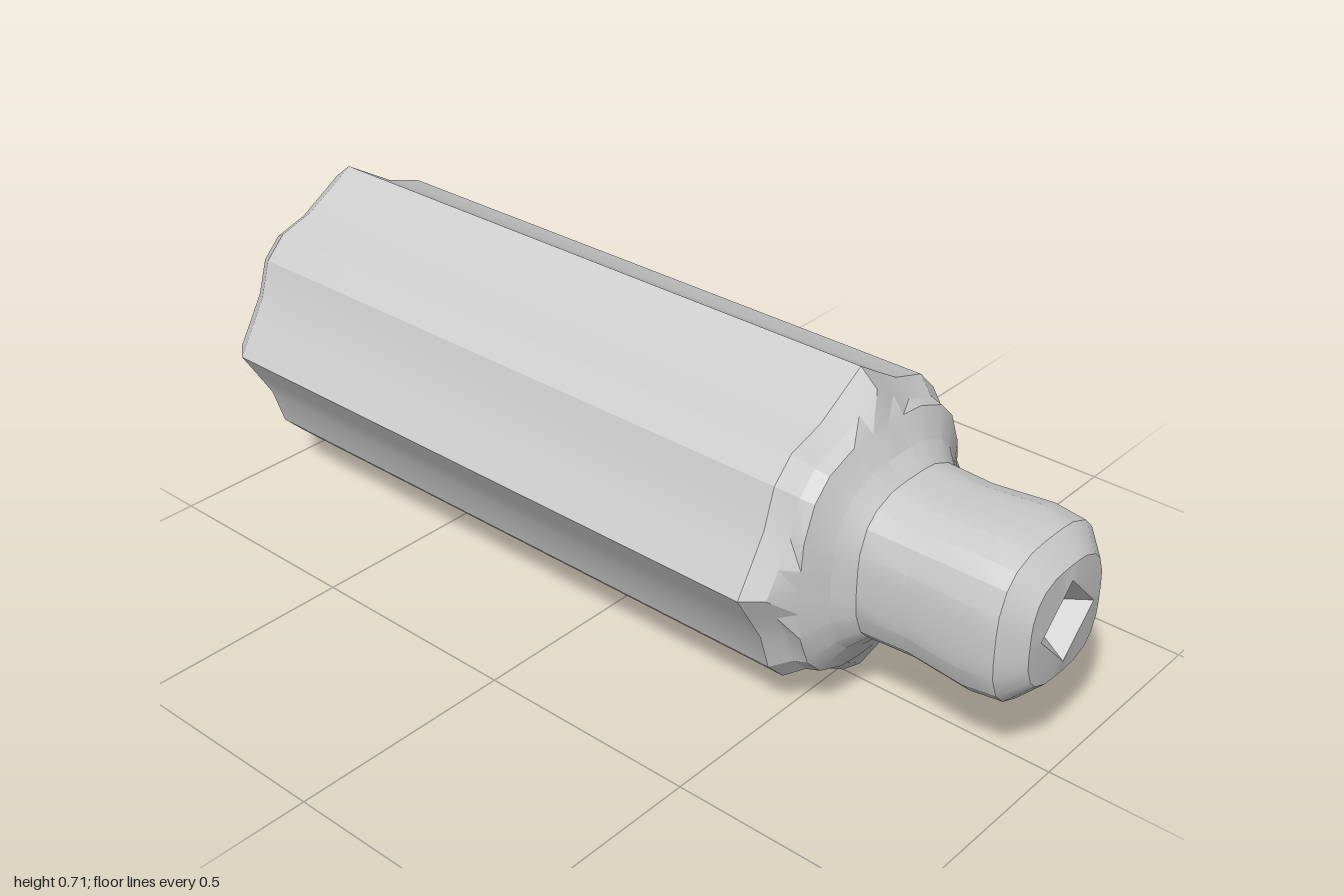
import * as THREE from 'three';
import { toCreasedNormals } from 'three/addons/utils/BufferGeometryUtils.js';

const CY = 0.355; // height of the long axis

// One quarter of the ridged cross-section, repeated four times around the axis
const QUARTER = [[0.353, 0], [0.316, 0.06], [0.28, 0.12], [0.253, 0.205], [0.205, 0.253], [0.12, 0.28], [0.06, 0.316]];
const section = [];
for (let q = 0; q < 4; q++) {
  for (const [x, y] of QUARTER) {
    const p = new THREE.Vector2(x, y).rotateAround(new THREE.Vector2(), q * Math.PI / 2);
    section.push({ r: p.length(), a: Math.atan2(p.y, p.x) });
  }
}
const N = section.length;
const BOTTOM = N * 3 / 4; // column of the lowest ridge

// Cross-section shapes: size s, section column c -> radius
const ridged = (s, c) => s * c.r;
const round = (s) => s;
const squarish = (s, c) => s * (1 + 0.12 * Math.sin(2 * c.a) ** 2);
const diamond = (s, c) => s / (Math.abs(Math.cos(c.a)) + Math.abs(Math.sin(c.a)));

// Closed loop of rings: along the outside to the tip, then back through the bore
const RINGS = [
  [-1.0, 0.83, ridged], [-0.985, 0.9, ridged], [-0.94, 1, ridged],
  [-0.89, 1, ridged], [-0.79, 1, ridged], [-0.72, 1, ridged], // 3, 4: side opening
  [0.51, 1, ridged], [0.55, 0.9, ridged], [0.58, 0.255, squarish], [0.61, 0.2, squarish],
  [0.645, 0.166, squarish], [0.75, 0.162, squarish], [0.88, 0.172, squarish],
  [0.95, 0.165, squarish], [0.995, 0.12, squarish],
  [1.0, 0.09, diamond], [0.93, 0.036, diamond], [0.62, 0.036, diamond],
  [0.53, 0.15, round], [0.47, 0.24, round], [-0.72, 0.245, round],
  [-0.79, 0.245, round], [-0.89, 0.245, round], // 21, 22: side opening, inside
  [-0.97, 0.25, round]
];

function shellGeometry() {
  const pos = [], index = [];
  const id = (i, j) => (i % RINGS.length) * N + (j + N) % N;
  const quad = (a, b, c, d) => index.push(a, b, c, a, c, d);

  RINGS.forEach(([z, s, shape], i) => section.forEach((c, j) => {
    const r = shape(s, c);
    let y = CY + r * Math.sin(c.a);
    // the lowest ridge is cut away around the side opening
    if ((i === 3 || i === 4) && Math.abs(j - BOTTOM) <= 1) y = 0.08;
    pos.push(r * Math.cos(c.a), y, z);
  }));

  for (let i = 0; i < RINGS.length; i++) {
    for (let j = 0; j < N; j++) {
      const open = (i === 3 || i === 21) && (j === BOTTOM - 1 || j === BOTTOM);
      if (!open) quad(id(i, j), id(i, j + 1), id(i + 1, j + 1), id(i + 1, j));
    }
  }

  // Walls of the side opening, joining outside and bore
  const rim = [[0, -1], [0, 0], [0, 1], [1, 1], [1, 0], [1, -1]];
  rim.forEach(([e, k], n) => {
    const [f, m] = rim[(n + 1) % rim.length];
    quad(id(3 + e, BOTTOM + k), id(3 + f, BOTTOM + m), id(22 - f, BOTTOM + m), id(22 - e, BOTTOM + k));
  });

  const g = new THREE.BufferGeometry();
  g.setAttribute('position', new THREE.Float32BufferAttribute(pos, 3));
  g.setIndex(index);
  return toCreasedNormals(g, 0.3);
}

export function createModel() {
  const group = new THREE.Group();
  group.name = 'ridgedHandle';
  const shell = new THREE.Mesh(shellGeometry(), new THREE.MeshStandardMaterial({ color: 0xcccccc }));
  shell.name = 'hollowBodyAndNeck';
  group.add(shell);
  return group;
}
